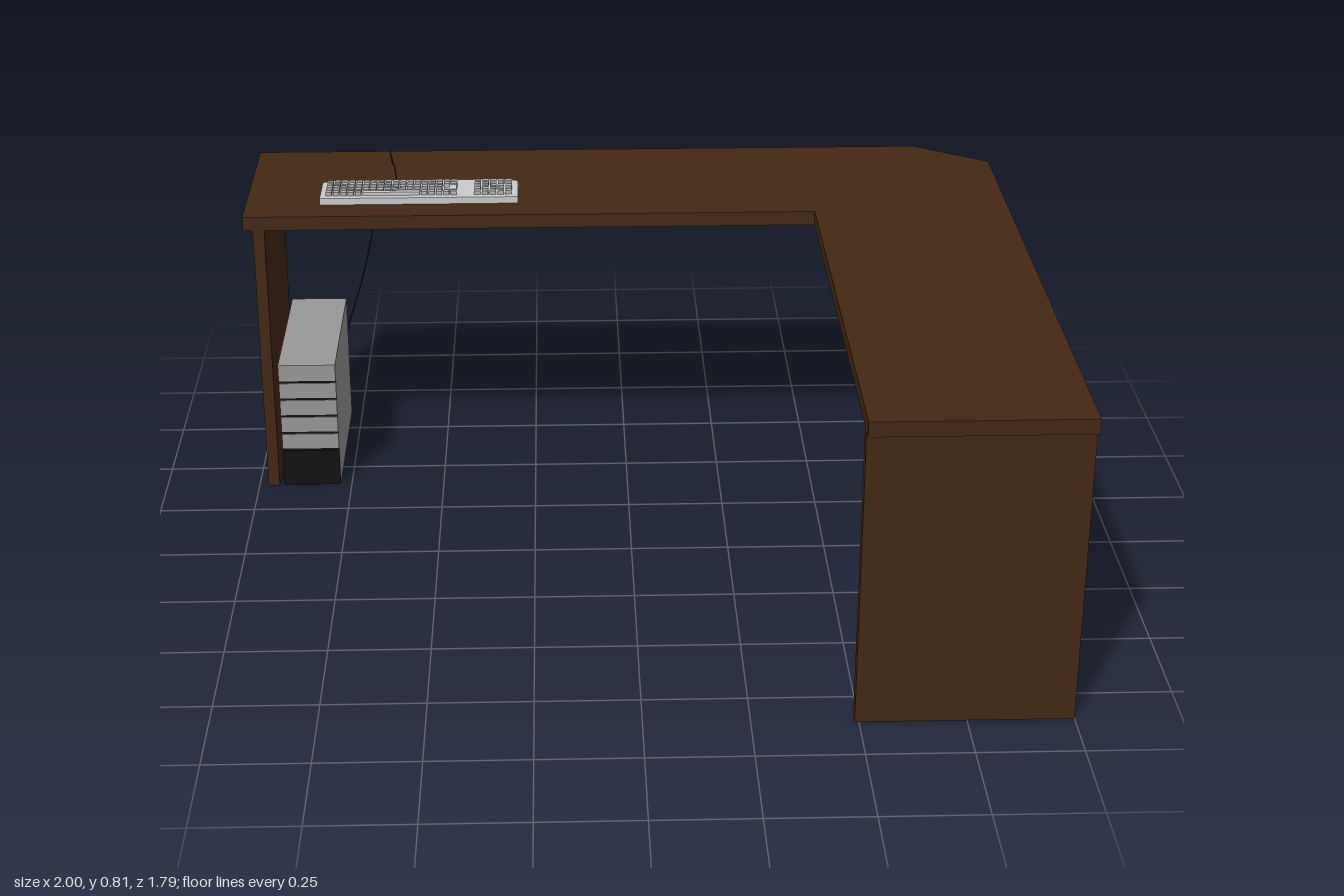
import * as THREE from 'three';
import { mergeGeometries } from 'three/addons/utils/BufferGeometryUtils.js';

const mat = (color) => new THREE.MeshStandardMaterial({ color });
const wood = mat(0x452814), metal = mat(0x999999), black = mat(0x111111);
const light = mat(0xcccccc), keyGrey = mat(0xb4b4b4), cableMat = mat(0x222222);

// Box from its minimum and maximum corners
function boxGeo(x0, x1, y0, y1, z0, z1) {
  return new THREE.BoxGeometry(x1 - x0, y1 - y0, z1 - z0)
    .translate((x0 + x1) / 2, (y0 + y1) / 2, (z0 + z1) / 2);
}

// Flat slab from an [x, z] outline, bottom at y
function slabGeo(outline, y, height) {
  const shape = new THREE.Shape(outline.map(([x, z]) => new THREE.Vector2(x, -z)));
  return new THREE.ExtrudeGeometry(shape, { depth: height, bevelEnabled: false })
    .rotateX(-Math.PI / 2).translate(0, y, 0);
}

function add(parent, name, geometry, material) {
  const mesh = new THREE.Mesh(geometry, material);
  mesh.name = name;
  parent.add(mesh);
  return mesh;
}

function makeDesk() {
  const desk = new THREE.Group();
  desk.name = 'desk';
  // L-shaped top with a cut back corner
  add(desk, 'deskTop', slabGeo([[-1, -0.89], [0.81, -0.89], [1, -0.76], [1, 0.89],
    [0.49, 0.89], [0.49, -0.39], [-1, -0.39]], 0.743, 0.037), wood);
  add(desk, 'sidePanel', boxGeo(-0.975, -0.945, 0, 0.743, -0.89, -0.39), wood);
  add(desk, 'frontPanel', boxGeo(0.49, 1, 0, 0.743, 0.83, 0.862), wood);
  add(desk, 'cornerLeg', new THREE.CylinderGeometry(0.03, 0.03, 0.743, 24)
    .translate(0.85, 0.3715, -0.745), metal);
  return desk;
}

function makeTower() {
  const tower = new THREE.Group();
  tower.name = 'computerTower';
  const x0 = -0.932, x1 = -0.78, front = -0.395;
  add(tower, 'towerCase', boxGeo(x0, x1, 0, 0.355, -0.855, front - 0.006), metal);
  add(tower, 'towerBase', boxGeo(x0, x1, 0, 0.102, front - 0.006, front), black);
  add(tower, 'bayGaps', boxGeo(x0 + 0.001, x1 - 0.001, 0.102, 0.35, front - 0.006, front - 0.003), black);
  // Five stacked drive covers
  for (let i = 0; i < 5; i++) {
    const y = 0.109 + i * 0.05;
    add(tower, 'driveCover', boxGeo(x0, x1, y, i === 4 ? 0.355 : y + 0.043, front - 0.006, front), metal);
  }
  return tower;
}

function makeKeyboard() {
  const keyboard = new THREE.Group();
  keyboard.name = 'keyboard';
  add(keyboard, 'keyboardBase', slabGeo([[-0.805, -0.475], [-0.285, -0.475], [-0.285, -0.596],
    [-0.315, -0.61], [-0.775, -0.61], [-0.805, -0.596]], 0.78, 0.018), light);

  const keys = [];
  const addKey = (x, z, w = 0.0155, d = 0.0145) =>
    keys.push(boxGeo(x, x + w, 0.798, 0.808, z, z + d));
  const rowZ = (r) => -0.586 + r * 0.0195;
  // Main block, leaving room for the enter key and the space bar
  for (let r = 0; r < 5; r++) {
    for (let c = 0; c < 18; c++) {
      const enter = c > 15 && (r === 2 || r === 3);
      const space = r === 4 && c > 4 && c < 13;
      if (!enter && !space) addKey(-0.79 + c * 0.0193, rowZ(r));
    }
  }
  // Number pad
  for (let r = 0; r < 5; r++) {
    for (let c = 0; c < 5; c++) addKey(-0.4 + c * 0.0205, rowZ(r), 0.0165);
  }
  add(keyboard, 'keys', mergeGeometries(keys), keyGrey);

  const wide = [boxGeo(-0.693, -0.543, 0.798, 0.807, rowZ(4), rowZ(4) + 0.0145),
    boxGeo(-0.48, -0.447, 0.798, 0.807, rowZ(3), rowZ(3) + 0.0145),
    boxGeo(-0.466, -0.447, 0.798, 0.807, rowZ(2), rowZ(3))];
  add(keyboard, 'spaceAndEnterKeys', mergeGeometries(wide), light);
  return keyboard;
}

// Cable from the keyboard over the rear edge to the back of the tower
function makeCable() {
  const points = [[-0.612, 0.789, -0.605], [-0.614, 0.791, -0.66], [-0.621, 0.798, -0.72],
    [-0.629, 0.785, -0.78], [-0.645, 0.784, -0.885], [-0.65, 0.77, -0.8925], [-0.73, 0.42, -0.8925],
    [-0.785, 0.24, -0.8925], [-0.803, 0.165, -0.8925], [-0.805, 0.16, -0.855]]
    .map((p) => new THREE.Vector3(...p));
  const path = new THREE.CatmullRomCurve3(points, false, 'centripetal');
  return new THREE.TubeGeometry(path, 80, 0.0022, 6);
}

export function createModel() {
  const model = new THREE.Group();
  model.name = 'cornerDeskWithComputer';
  model.add(makeDesk(), makeTower(), makeKeyboard());
  add(model, 'keyboardCable', makeCable(), cableMat);
  return model;
}
